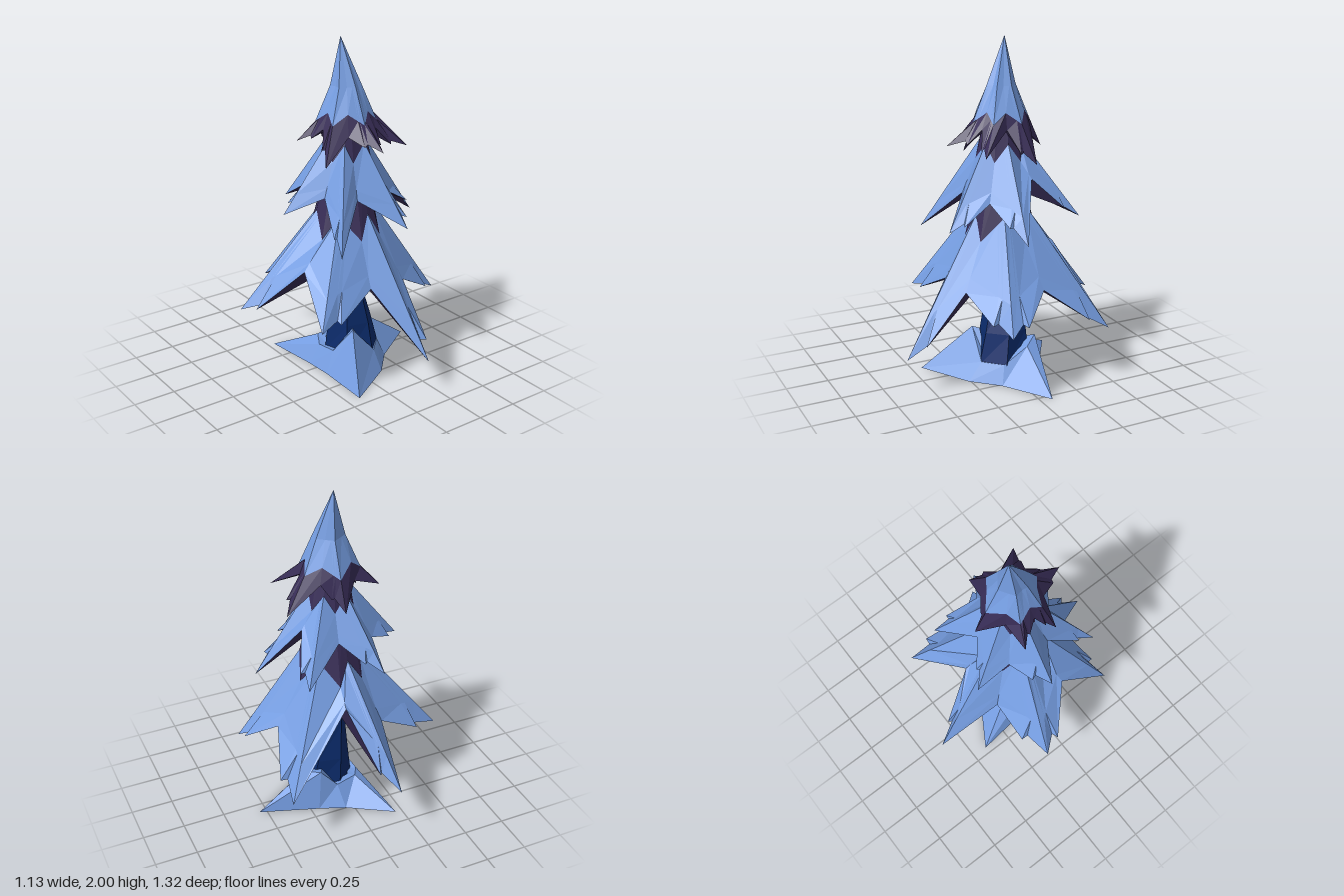
import * as THREE from 'three';

const mat = (name, color) => {
  const m = new THREE.MeshStandardMaterial({ color, side: THREE.DoubleSide, flatShading: true });
  m.name = name;
  return m;
};
const V = (x, y, z) => new THREE.Vector3(x, y, z);
const CX = 0.04, CZ = 0.01; // trunk axis

// Skin between consecutive closed loops of equal length
function loft(name, material, ...loops) {
  const p = [];
  const tri = (...vs) => vs.forEach(v => p.push(v.x, v.y, v.z));
  for (let k = 0; k < loops.length - 1; k++) {
    const a = loops[k], b = loops[k + 1], n = a.length;
    for (let i = 0; i < n; i++) {
      const j = (i + 1) % n;
      tri(a[i], b[j], b[i]);
      tri(a[i], a[j], b[j]);
    }
  }
  const g = new THREE.BufferGeometry();
  g.setAttribute('position', new THREE.Float32BufferAttribute(p, 3));
  g.computeVertexNormals();
  const mesh = new THREE.Mesh(g, material);
  mesh.name = name;
  return mesh;
}

// Jagged rim. Rows are [x, y, z, t]: t = 0 at a tip, 1 at a valley, between for a side tooth.
// A small notch is cut between each tip and the tooth beside it.
function makeRim(rows) {
  const rim = [];
  rows.forEach(([x, y, z, t], i) => {
    const p = V(x, y, z);
    rim.push({ p, t });
    const [nx, ny, nz, nt] = rows[(i + 1) % rows.length];
    if (t < 1 && nt < 1) {
      const n = p.clone().lerp(V(nx, ny, nz), t < nt ? 0.75 : 0.25);
      n.lerp(V(CX, n.y + 0.25, CZ), 0.08);
      rim.push({ p: n, t: Math.max(t, nt) * 0.7 });
    }
  });
  return rim;
}

// Loop with given corners at tips and valleys, straight between them
function cornered(rim, corner) {
  const n = rim.length;
  const isCorner = i => rim[i].t === 0 || rim[i].t === 1;
  return rim.map((q, i) => {
    if (isCorner(i)) return corner(i);
    let a = i, b = i;
    while (!isCorner(a)) a = (a + n - 1) % n;
    while (!isCorner(b)) b = (b + 1) % n;
    const [tip, valley] = rim[a].t === 0 ? [a, b] : [b, a];
    return corner(tip).lerp(corner(valley), q.t);
  });
}

// Upper loop with corners at [radius, y]
const ring = (rim, tipAt, valleyAt) => cornered(rim, i => {
  const { p, t } = rim[i], [r, y] = t ? valleyAt : tipAt, a = Math.atan2(p.z - CZ, p.x - CX);
  return V(CX + r * Math.cos(a), y, CZ + r * Math.sin(a));
});
const circle = (rim, r, y) => ring(rim, [r, y], [r, y]);
const edge = rim => rim.map(q => q.p);
// Flat-sided loop just above the rim, so teeth only break up the edge
const shoulder = (rim, top) => cornered(rim, i => top[i].clone().lerp(rim[i].p, 0.72));

export function createModel() {
  const snow = mat('snow blue', 0x759de1);
  const needles = mat('dark purple needles', 0x382d57);
  const bark = mat('navy bark', 0x0b2b6b);
  const tree = new THREE.Group();
  tree.name = 'snowyFirTree';

  // Lower skirt: widest branches, snow on top, needles below and in the core
  const low = makeRim([
    [0.56, 0.47, 0.09, 0.3], [0.565, 0.42, 0.19, 0], [0.46, 0.47, 0.26, 0.3], [0.23, 0.6, 0.32, 1],
    [0.22, 0.31, 0.56, 0.25], [0.16, 0.225, 0.655, 0], [-0.02, 0.61, 0.34, 1],
    [-0.27, 0.48, 0.4, 0.35], [-0.4, 0.46, 0.4, 0], [-0.32, 0.71, 0.11, 1],
    [-0.53, 0.46, -0.08, 0.3], [-0.57, 0.43, -0.19, 0], [-0.41, 0.48, -0.265, 0.35], [-0.17, 0.6, -0.27, 1],
    [-0.11, 0.37, -0.66, 0], [-0.03, 0.44, -0.55, 0.3], [0.08, 0.78, -0.31, 1],
    [0.48, 0.34, -0.47, 0], [0.5, 0.42, -0.33, 0.3], [0.41, 0.61, -0.08, 1],
  ]);
  const lowTop = ring(low, [0.175, 1.0], [0.215, 0.86]);
  tree.add(
    loft('lowerSnow', snow, lowTop, shoulder(low, lowTop), edge(low)),
    loft('lowerUnderside', needles, edge(low), circle(low, 0.07, 0.64)),
    loft('lowerCore', needles, circle(low, 0.13, 1.2), lowTop),
  );

  // Middle skirt
  const mid = makeRim([
    [0.485, 0.91, 0.06, 0], [0.4, 1.0, 0.13, 0.35], [0.23, 1.1, 0.17, 1],
    [0.24, 0.99, 0.33, 0.3], [0.19, 0.95, 0.4, 0], [-0.03, 1.11, 0.22, 1],
    [-0.26, 0.87, 0.39, 0], [-0.24, 0.95, 0.29, 0.3], [-0.17, 1.12, 0.1, 1],
    [-0.37, 1.03, -0.02, 0], [-0.29, 1.06, -0.1, 0.35], [-0.15, 1.12, -0.16, 1],
    [-0.13, 1.0, -0.37, 0], [-0.04, 1.05, -0.31, 0.35], [0.08, 1.16, -0.21, 1],
    [0.32, 0.99, -0.35, 0], [0.33, 1.05, -0.25, 0.3], [0.25, 1.22, -0.08, 1],
  ]);
  const midTop = ring(mid, [0.125, 1.41], [0.145, 1.31]);
  tree.add(
    loft('middleSnow', snow, midTop, shoulder(mid, midTop), edge(mid)),
    loft('middleUnderside', needles, edge(mid), circle(mid, 0.1, 1.14)),
    loft('middleCore', needles, circle(mid, 0.09, 1.56), midTop),
  );

  // Top: pointed snow cap with a needle fringe
  const fringe = makeRim([
    [0.31, 1.38, 0.23, 0], [0.21, 1.4, 0.21, 0.4], [0.13, 1.5, 0.17, 1],
    [0.11, 1.42, 0.25, 0.4], [0.05, 1.41, 0.35, 0], [-0.01, 1.43, 0.26, 0.4], [-0.05, 1.47, 0.16, 1],
    [-0.19, 1.31, 0.14, 0], [-0.17, 1.4, 0.08, 0.4], [-0.13, 1.5, 0.03, 1],
    [-0.17, 1.44, -0.03, 0.4], [-0.22, 1.42, -0.1, 0], [-0.06, 1.48, -0.11, 1],
    [0.05, 1.36, -0.24, 0], [0.1, 1.42, -0.16, 0.4], [0.15, 1.5, -0.12, 1],
    [0.33, 1.32, -0.07, 0], [0.3, 1.38, 0.01, 0.3], [0.2, 1.5, 0.05, 1],
  ]);
  const capEdge = ring(fringe, [0.175, 1.53], [0.135, 1.59]);
  const apex = fringe.map(() => V(0.025, 2, -0.02));
  tree.add(
    loft('capSnow', snow, apex, ring(fringe, [0.09, 1.73], [0.075, 1.73]), capEdge),
    loft('capFringe', needles, capEdge, edge(fringe)),
    loft('fringeUnderside', needles, edge(fringe), circle(fringe, 0.09, 1.49)),
  );

  // Trunk: leaning six-sided rings flaring into the snow
  const trunkRings = [[0.04, 0.78, 0, 0.08], [0.05, 0.5, 0, 0.1], [0.07, 0.28, 0.01, 0.14], [0.08, 0.09, 0.02, 0.17]]
    .map(([x, y, z, r], k) => Array.from({ length: 6 }, (_, i) => {
      const a = i * Math.PI / 3 + 0.1 * k;
      return V(x + r * Math.cos(a), y, z + r * Math.sin(a));
    }));
  tree.add(loft('trunk', bark, ...trunkRings));

  // Snow drift: three long points on the ground, banked up against the trunk
  const ground = [
    V(0.545, 0, -0.07), V(0.27, 0, 0.11), V(0.13, 0, 0.26),
    V(-0.17, 0, 0.44), V(-0.16, 0, 0.1), V(-0.17, 0, -0.07),
    V(-0.21, 0, -0.41), V(0.05, 0, -0.25), V(0.2, 0, -0.19),
  ];
  const collar = [
    V(0.25, 0.21, -0.06), V(0.23, 0.11, 0.08), V(0.13, 0.11, 0.18),
    V(-0.02, 0.28, 0.17), V(-0.1, 0.13, 0.08), V(-0.11, 0.12, -0.05),
    V(-0.06, 0.14, -0.14), V(0.07, 0.13, -0.17), V(0.17, 0.24, -0.15),
  ];
  const lip = collar.map(v => V(0.08 + (v.x - 0.08) * 0.75, v.y - 0.01, 0.02 + (v.z - 0.02) * 0.75));
  tree.add(loft('snowDrift', snow, lip, collar, ground));

  return tree;
}
